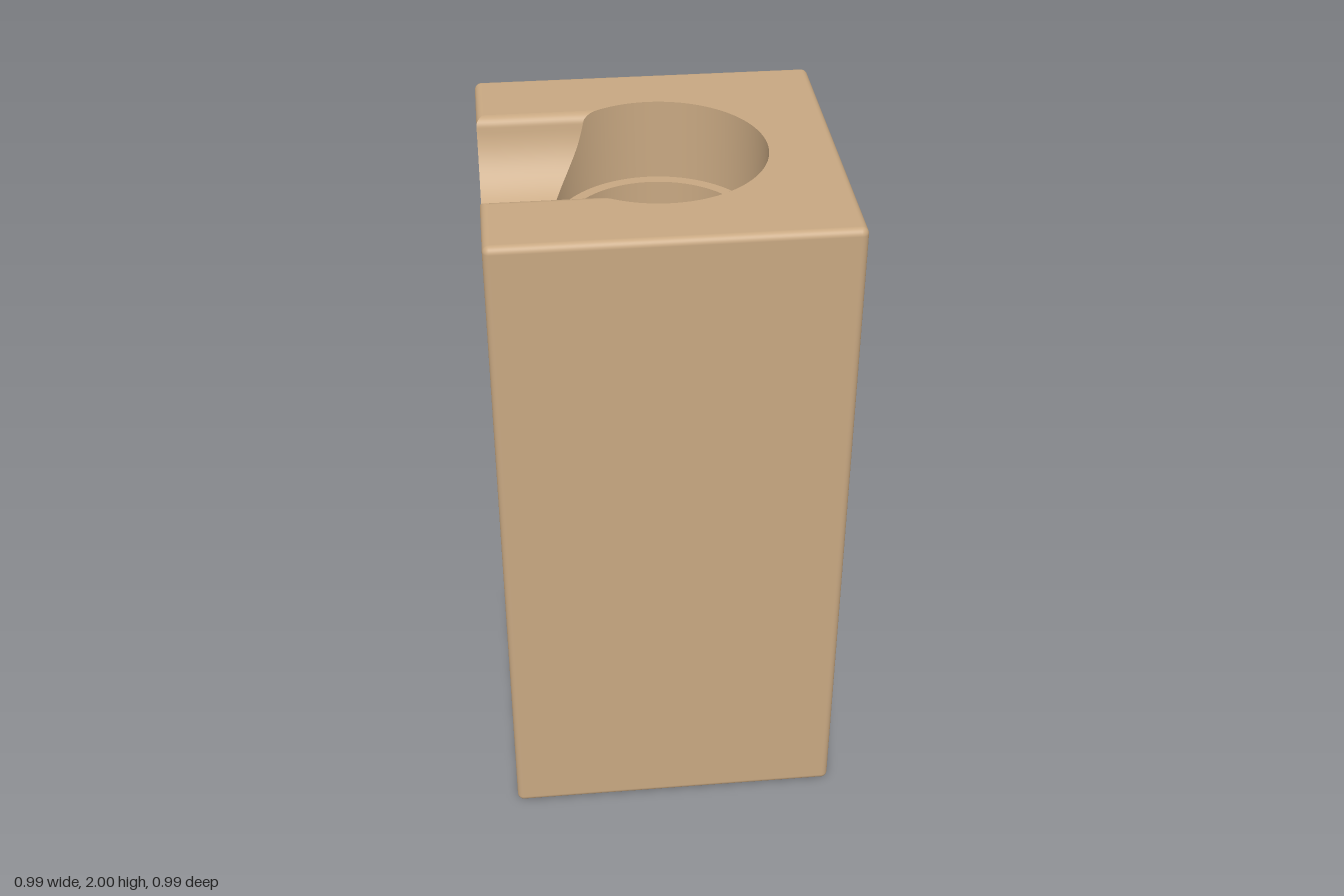
import * as THREE from 'three';
import { RoundedBoxGeometry } from 'three/addons/geometries/RoundedBoxGeometry.js';

const H = 0.493, TOP = 2, EDGE = 0.02, IN = H - EDGE;   // block half width, height, edge rounding
const R = 0.235;                                        // groove and tunnel radius
const F = 0.03, GZ = Math.sqrt((R + F) ** 2 - F ** 2);  // groove lip rounding and its outer edge
const GT = GZ * R / (R + F);                            // where the lip meets the groove arc
const R1 = 0.303, R2 = 0.27;                            // upper and lower shaft radii
const LEDGE = 1.76, FLOOR = 1.235, SLOPE = 0.33;

const lowMid = x => 0.985 + SLOPE * (H - x);            // centre of the tunnel's bottom arc
const highMid = x => 1.085 + SLOPE * (H - x);           // centre of the tunnel's top arc
const chord = (r, a) => Math.sqrt(Math.max(0, r * r - a * a));
const lipZ = y => GZ - chord(F, y - (TOP - F));

// Smooth surface from a rule (u, v) -> [x, y, z]
function sheet(nu, nv, rule) {
  const pos = [], idx = [];
  for (let i = 0; i <= nu; i++) {
    for (let j = 0; j <= nv; j++) {
      pos.push(...rule(i / nu, j / nv));
      if (i < nu && j < nv) {
        const a = i * (nv + 1) + j, b = a + nv + 1;
        idx.push(a, b, a + 1, b, b + 1, a + 1);
      }
    }
  }
  const g = new THREE.BufferGeometry();
  g.setAttribute('position', new THREE.Float32BufferAttribute(pos, 3));
  g.setIndex(idx);
  g.computeVertexNormals();
  return g;
}

// Groove cross-section as [z, y], lip to lip
function grooveProfile() {
  const half = [];
  const lipEnd = Math.asin(GZ / (R + F));
  for (let i = 0; i < 8; i++) {
    const a = Math.PI / 2 + lipEnd * i / 8;
    half.push([GZ + F * Math.cos(a), TOP - F + F * Math.sin(a)]);
  }
  for (let i = 0; i <= 24; i++) {
    const a = lipEnd * (1 - i / 24);
    half.push([R * Math.sin(a), TOP - R * Math.cos(a)]);
  }
  return [...half, ...half.slice(0, -1).reverse().map(([z, y]) => [-z, y])];
}

function grooveY(z) {
  const a = Math.abs(z);
  if (a >= GZ) return TOP;
  return a > GT ? TOP - F + chord(F, GZ - a) : TOP - chord(R, a);
}

// Rounded block without the three faces that get openings, and without the grooved edge
function shellGeometry() {
  const g = new RoundedBoxGeometry(2 * H, TOP, 2 * H, 5, EDGE).translate(0, TOP / 2, 0);
  const src = g.index ? g.toNonIndexed() : g;
  const p = src.attributes.position, n = src.attributes.normal, pos = [], nor = [];
  const e = 1e-4;
  for (let i = 0; i < p.count; i += 3) {
    const k = [i, i + 1, i + 2], z = k.map(j => p.getZ(j));
    const side = k.every(j => p.getX(j) > H - e) || k.every(j => p.getX(j) < e - H);
    const top = k.every(j => p.getY(j) > TOP - e);
    const long = Math.max(...z) - Math.min(...z) > 0.5;
    const edge = long && k.every(j => p.getX(j) < e - IN && p.getY(j) > TOP - EDGE - e);
    if ((long && (side || top)) || edge) continue;
    for (const j of k) {
      pos.push(p.getX(j), p.getY(j), p.getZ(j));
      nor.push(n.getX(j), n.getY(j), n.getZ(j));
    }
  }
  const out = new THREE.BufferGeometry();
  out.setAttribute('position', new THREE.Float32BufferAttribute(pos, 3));
  out.setAttribute('normal', new THREE.Float32BufferAttribute(nor, 3));
  return out;
}

export function createModel() {
  const group = new THREE.Group();
  const wood = new THREE.MeshStandardMaterial({ color: 0xc8a882, side: THREE.DoubleSide });
  wood.name = 'wood';
  const add = (name, geometry) => {
    const m = new THREE.Mesh(geometry, wood);
    m.name = name;
    group.add(m);
  };

  add('blockShell', shellGeometry());

  // Top face, cut by the shaft and the groove
  const a0 = Math.PI - Math.asin(GZ / R1);
  const top = new THREE.Shape();
  top.moveTo(-IN, -IN).lineTo(IN, -IN).lineTo(IN, IN).lineTo(-IN, IN).lineTo(-IN, GZ);
  top.lineTo(R1 * Math.cos(a0), GZ);
  top.absarc(0, 0, R1, a0, -a0, true);
  top.lineTo(-IN, -GZ);
  add('topFace', new THREE.ShapeGeometry(top, 96).rotateX(-Math.PI / 2).translate(0, TOP, 0));

  // Left face with the tunnel mouth
  const left = new THREE.Shape();
  left.moveTo(-IN, EDGE).lineTo(IN, EDGE).lineTo(IN, TOP - EDGE).lineTo(-IN, TOP - EDGE);
  const mouth = new THREE.Path();
  mouth.absarc(0, lowMid(H), R, Math.PI, 2 * Math.PI, false);
  mouth.absarc(0, highMid(H), R, 0, Math.PI, false);
  left.holes.push(mouth);
  add('leftFace', new THREE.ShapeGeometry(left, 48).rotateY(Math.PI / 2).translate(H, 0, 0));

  // Right face, notched by the groove
  const profile = grooveProfile(), yE = TOP - EDGE;
  const right = new THREE.Shape();
  right.moveTo(-IN, EDGE).lineTo(IN, EDGE).lineTo(IN, yE).lineTo(lipZ(yE), yE);
  profile.filter(q => q[1] < yE - 1e-4).forEach(([z, y]) => right.lineTo(z, y));
  right.lineTo(-lipZ(yE), yE).lineTo(-IN, yE);
  add('rightFace', new THREE.ShapeGeometry(right).rotateY(-Math.PI / 2).translate(-H, 0, 0));

  // Groove from the right face into the shaft
  add('groove', sheet(profile.length - 1, 6, (u, v) => {
    const [z, y] = profile[Math.round(u * (profile.length - 1))];
    const start = y <= yE ? -H : -IN - chord(EDGE, y - yE);
    return [start + (-chord(R1, z) - start) * v, y, z];
  }));

  // Shaft: wide upper wall, ledge, narrower lower wall
  add('shaftUpperWall', sheet(160, 2, (u, v) => {
    const t = u * 2 * Math.PI, x = R1 * Math.cos(t), z = R1 * Math.sin(t);
    const y = x < 0 ? grooveY(z) : TOP;
    return [x, LEDGE + (y - LEDGE) * v, z];
  }));
  add('shaftLedge', new THREE.RingGeometry(R2, R1, 96).rotateX(-Math.PI / 2).translate(0, LEDGE, 0));
  add('shaftLowerWall', sheet(240, 2, (u, v) => {
    const t = u * 2 * Math.PI, x = R2 * Math.cos(t), z = R2 * Math.sin(t);
    let y = FLOOR;
    if (Math.abs(z) < R) y = x < 0 ? lowMid(x) - chord(R, z) : Math.max(FLOOR, highMid(x) + chord(R, z));
    return [x, y + (LEDGE - y) * v, z];
  }));

  // Sloping tunnel: bottom trough and ceiling
  add('tunnelTrough', sheet(48, 12, (u, v) => {
    const t = Math.PI * (1 + u), z = R * Math.cos(t), end = -chord(R2, z);
    const x = H + (end - H) * v;
    return [x, lowMid(x) + R * Math.sin(t), z];
  }));
  add('tunnelCeiling', sheet(48, 8, (u, v) => {
    const t = Math.PI * u, z = R * Math.cos(t), h = R * Math.sin(t);
    const end = Math.min(chord(R2, z), H - (FLOOR - highMid(H) - h) / SLOPE);
    const x = H + (end - H) * v;
    return [x, highMid(x) + h, z];
  }));

  // Mirrored pieces: tunnel sides, shaft floor slivers, rounded edge beside the groove
  const x0 = -chord(R2, R);
  for (const s of [1, -1]) {
    add('tunnelSide', sheet(32, 2, (u, v) => {
      const x = x0 + (H - x0) * u, lo = lowMid(x), hi = Math.min(highMid(x), FLOOR);
      return [x, lo + (hi - lo) * v, s * R];
    }));
    add('shaftFloor', sheet(32, 1, (u, v) => {
      const x = x0 + (0.16 - x0) * u;
      const inner = chord(R, Math.max(0, FLOOR - highMid(x)));
      const outer = Math.max(inner, chord(R2, x));
      return [x, FLOOR, s * (inner + (outer - inner) * v)];
    }));
    add('roundedEdge', sheet(8, 1, (u, v) => {
      const t = u * Math.PI / 2, y = yE + EDGE * Math.sin(t), z = lipZ(y);
      return [-IN - EDGE * Math.cos(t), y, s * (z + (IN - z) * v)];
    }));
  }
  return group;
}
